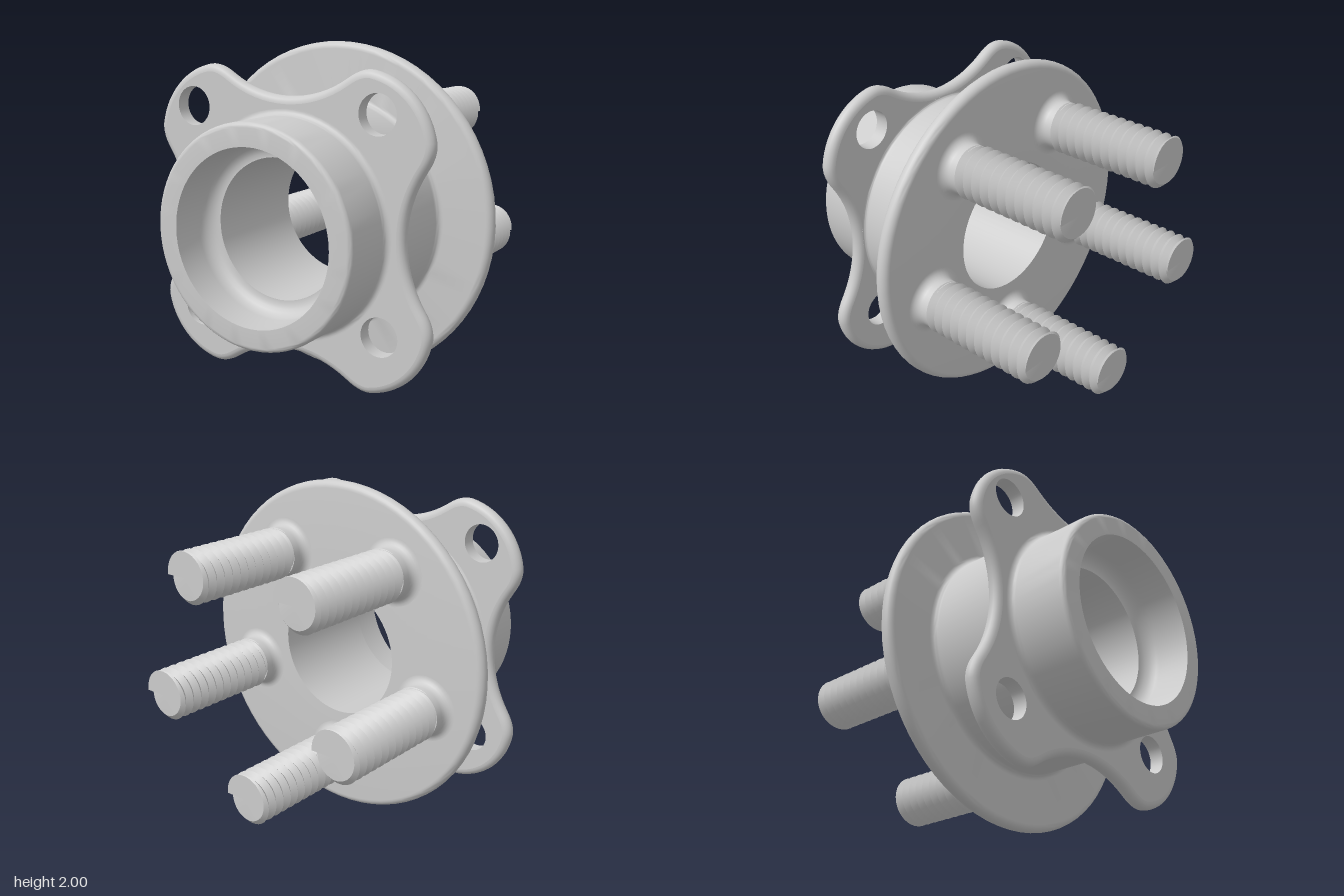
import * as THREE from 'three';
import { toCreasedNormals } from 'three/addons/utils/BufferGeometryUtils.js';

const mat = new THREE.MeshStandardMaterial({ color: 0xcccccc });
const matDouble = new THREE.MeshStandardMaterial({ color: 0xcccccc, side: THREE.DoubleSide });
const matInside = new THREE.MeshStandardMaterial({ color: 0xcccccc, side: THREE.BackSide });

function mesh(name, geometry, material = mat) {
  const m = new THREE.Mesh(geometry, material);
  m.name = name;
  return m;
}

// Corners [radius, z, fillet] become a profile with quarter-round corners
function filletProfile(corners) {
  const out = [];
  corners.forEach(([r, z, f], i) => {
    const c = new THREE.Vector2(r, z);
    if (!f) return out.push(c);
    const toward = ([x, y]) => new THREE.Vector2(x, y).sub(c).setLength(f).add(c);
    const a = toward(corners[i - 1]), b = toward(corners[i + 1]);
    const o = a.clone().add(b).sub(c);
    for (let k = 0; k <= 6; k++) {
      const t = (k / 6) * Math.PI / 2;
      out.push(o.clone()
        .addScaledVector(a.clone().sub(o), Math.cos(t))
        .addScaledVector(b.clone().sub(o), Math.sin(t)));
    }
  });
  return out;
}

// Solid of revolution about the z axis
function turned(corners, segments) {
  const g = new THREE.LatheGeometry(filletProfile(corners), segments);
  return toCreasedNormals(g.rotateX(Math.PI / 2), 0.6);
}

// Surface through rows of points; at(row, column) gives [x, y, z]
function grid(rows, cols, at) {
  const pos = [], idx = [];
  for (let j = 0; j <= rows; j++) {
    for (let i = 0; i <= cols; i++) {
      pos.push(...at(j, i));
      if (j < rows && i < cols) {
        const a = j * (cols + 1) + i, b = a + cols + 1;
        idx.push(a, a + 1, b, a + 1, b + 1, b);
      }
    }
  }
  const g = new THREE.BufferGeometry();
  g.setAttribute('position', new THREE.Float32BufferAttribute(pos, 3));
  g.setIndex(idx);
  return toCreasedNormals(g, 0.6);
}

// One quarter of the four-lobed outline, repeated by rotation
function lobeOutline() {
  const quarter = [], out = [];
  const deg = Math.PI / 180;
  const arc = (cx, cy, r, a0, a1, n) => {
    for (let i = 0; i < n; i++) {
      const a = (a0 + ((a1 - a0) * i) / n) * deg;
      quarter.push(new THREE.Vector2(cx + r * Math.cos(a), cy + r * Math.sin(a)));
    }
  };
  const bend = (x0, y0, x1, y1, x2, y2) => {
    const c = new THREE.QuadraticBezierCurve(
      new THREE.Vector2(x0, y0), new THREE.Vector2(x1, y1), new THREE.Vector2(x2, y2));
    quarter.push(...c.getPoints(6).slice(0, -1));
  };
  arc(0.45, 0.45, 0.395, 10, 80, 14);
  bend(0.519, 0.839, 0.465, 0.846, 0.392, 0.796);
  arc(0, 1.4, 0.72, -57, -123, 16);
  bend(-0.392, 0.796, -0.465, 0.846, -0.519, 0.839);
  for (let q = 0; q < 4; q++) {
    for (const p of quarter) out.push(p.clone().rotateAround(new THREE.Vector2(), q * Math.PI / 2));
  }
  return out;
}

function makeLobedFlange() {
  const flange = new THREE.Group();
  flange.name = 'lobedFlange';
  const half = 0.043, holeR = 0.112;
  const holes = [[-0.63, 0.64], [0.565, 0.655], [0.585, -0.54], [-0.615, -0.56]];
  const pts = lobeOutline(), n = pts.length;

  // Half-round rim swept around the outline
  flange.add(mesh('flangeRim', grid(10, n, (j, i) => {
    const p = pts[i % n];
    const d = pts[(i + 1) % n].clone().sub(pts[(i + n - 1) % n]).normalize();
    const a = (j / 10 - 0.5) * Math.PI;
    const s = half * Math.cos(a);
    return [p.x + d.y * s, p.y - d.x * s, half * Math.sin(a)];
  })));

  // Flat faces with the hub opening and the bolt holes
  const shape = new THREE.Shape(pts);
  for (const [x, y, r] of [[0, 0, 0.655], ...holes.map(([x, y]) => [x, y, holeR])]) {
    shape.holes.push(new THREE.Path().absarc(x, y, r, 0, Math.PI * 2, true));
  }
  const face = new THREE.ShapeGeometry(shape, 24);
  flange.add(mesh('flangeFrontFace', face.clone().translate(0, 0, half), matDouble));
  flange.add(mesh('flangeBackFace', face.clone().translate(0, 0, -half), matDouble));

  for (const [x, y] of holes) {
    const wall = new THREE.CylinderGeometry(holeR, holeR, half * 2, 48, 1, true).rotateX(Math.PI / 2);
    flange.add(mesh('boltHole', wall.translate(x, y, 0), matInside));
  }
  flange.position.z = 0.49;
  return flange;
}

// Helical V thread with flat ends
function threadGeometry() {
  const z0 = -0.89, z1 = -0.17, pitch = 0.06, major = 0.155, minor = 0.125, cols = 32;
  const first = Math.floor((z0 / pitch) * 2) - 2;
  const rows = Math.ceil((z1 / pitch) * 2) - first + 2;
  return grid(rows, cols, (j, i) => {
    const turn = i / cols, a = turn * Math.PI * 2;
    const z = THREE.MathUtils.clamp(pitch * ((first + j) / 2 + turn), z0, z1);
    const u = z / pitch - turn;
    let r = minor + (major - minor) * Math.abs(2 * (u - Math.floor(u)) - 1);
    if (j === 0) r = 0;
    if (j === rows) r = 0.1;
    return [r * Math.cos(a), r * Math.sin(a), z];
  });
}

export function createModel() {
  const model = new THREE.Group();
  model.name = 'wheelHub';

  // Hub body: wheel disc, barrel, front collar and stepped bore
  model.add(mesh('hubBody', turned([
    [0.4, -0.085, 0], [1, -0.085, 0.042], [1, 0, 0.042],
    [0.67, 0, 0.035], [0.67, 0.447, 0.018], [0.69, 0.447, 0],
    [0.66, 0.533, 0], [0.62, 0.533, 0.035], [0.62, 0.89, 0.03],
    [0.49, 0.89, 0], [0.49, 0.61, 0.085], [0.4, 0.61, 0], [0.4, -0.085, 0],
  ], 72)));

  model.add(makeLobedFlange());

  // Five wheel studs on a bolt circle, one at the bottom
  const thread = threadGeometry();
  const shank = turned([
    [0.145, -0.18, 0], [0.145, -0.085, 0.05], [0.2, -0.085, 0],
  ], 40);
  for (let i = 0; i < 5; i++) {
    const a = -Math.PI / 2 + (i * Math.PI * 2) / 5;
    const stud = new THREE.Group();
    stud.name = 'wheelStud';
    stud.add(mesh('studThread', thread), mesh('studShank', shank));
    stud.position.set(0.67 * Math.cos(a), 0.67 * Math.sin(a), 0);
    model.add(stud);
  }

  for (const part of model.children) part.position.y += 1;
  return model;
}
